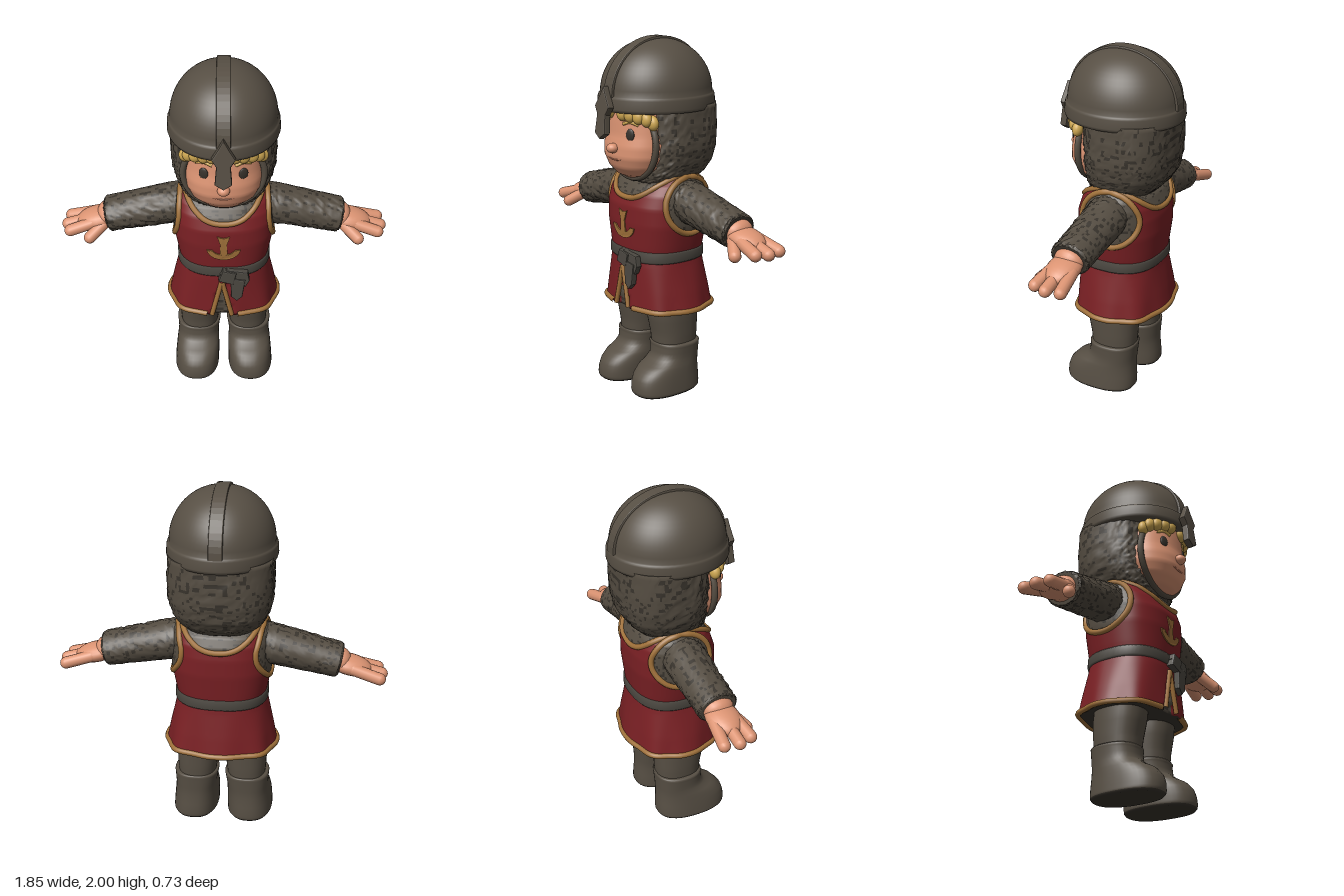
import * as THREE from 'three';

const V = (x, y, z) => new THREE.Vector3(x, y, z);
const mat = (name, color, side = THREE.FrontSide) => {
  const m = new THREE.MeshStandardMaterial({ color, side });
  m.name = name;
  return m;
};
// repeatable pseudo-random value for a grid cell
const hash = (i, j) => { const s = Math.sin(i * 127.1 + j * 311.7) * 43758.5453; return s - Math.floor(s); };

// rings: [y, halfWidth, zFront, zBack, xCentre]
function ringAt(rings, y) {
  let k = 0;
  while (k < rings.length - 2 && y > rings[k + 1][0]) k++;
  const a = rings[k], b = rings[k + 1];
  const t = THREE.MathUtils.clamp((y - a[0]) / (b[0] - a[0]), 0, 1);
  const mix = (i) => (a[i] || 0) + ((b[i] || 0) - (a[i] || 0)) * t;
  return { w: mix(1), d: (mix(2) - mix(3)) / 2, cz: (mix(2) + mix(3)) / 2, cx: mix(4) };
}
function ringPoint(rings, n, y, ang, grow = 0) {
  const r = ringAt(rings, y), c = Math.cos(ang), s = Math.sin(ang);
  const f = (v) => Math.sign(v) * Math.pow(Math.abs(v), 2 / n);
  return V(r.cx + (r.w + grow) * f(c), y, r.cz + (r.d + grow) * f(s));
}
function surfZ(rings, n, x, y, sign = 1) {
  const r = ringAt(rings, y);
  return r.cz + sign * r.d * Math.pow(Math.max(0, 1 - Math.pow(Math.abs(x / r.w), n)), 1 / n);
}

// closed skin over stacked rings; paint picks a material index for each cell
function loft(rings, { n = 2, sub = 4, seg = 32, shape = (p) => p, paint = () => 0, grow = 0 } = {}) {
  const ys = [rings[0][0]];
  for (let k = 1; k < rings.length; k++)
    for (let i = 1; i <= sub; i++) ys.push(rings[k - 1][0] + (rings[k][0] - rings[k - 1][0]) * i / sub);
  const pts = [], lists = [[], [], []];
  ys.forEach((y, i) => {
    for (let j = 0; j < seg; j++) {
      const ang = j / seg * Math.PI * 2;
      pts.push(shape(ringPoint(rings, n, y, ang, grow), i, j, ang));
    }
  });
  const last = ys.length - 1;
  for (let i = 0; i < last; i++) for (let j = 0; j < seg; j++) {
    const a = i * seg + j, b = i * seg + (j + 1) % seg, c = a + seg, d = b + seg;
    const mid = pts[a].clone().add(pts[d]).multiplyScalar(0.5);
    lists[paint(mid, i, j)].push(a, c, b, b, c, d);
  }
  for (const i of [0, last]) {
    const r = ringAt(rings, ys[i]), m = pts.push(V(r.cx, ys[i], r.cz)) - 1;
    const list = lists[paint(pts[m], i, 0)];
    for (let j = 0; j < seg; j++) {
      const a = i * seg + j, b = i * seg + (j + 1) % seg;
      if (i) list.push(a, m, b); else list.push(a, b, m);
    }
  }
  const g = new THREE.BufferGeometry().setFromPoints(pts);
  g.setIndex(lists.flat());
  let start = 0;
  lists.forEach((l, i) => { if (l.length) g.addGroup(start, l.length, i); start += l.length; });
  g.computeVertexNormals();
  return g;
}

export function createModel() {
  const root = new THREE.Group();
  const metal = mat('brown steel', 0x574f44), mail = mat('chain mail', 0x544c41), mailDark = mat('mail gaps', 0x38332c);
  const red = mat('red cloth', 0x7a2024), gold = mat('gold trim', 0xa0713a), skin = mat('skin', 0xdc9473);
  const hair = mat('blond hair', 0xcfa852), belt = mat('belt leather', 0x4c4841), dark = mat('eye', 0x37322c), lip = mat('lip', 0xbd775c);

  const add = (name, geo, material, parent = root) => {
    const m = new THREE.Mesh(geo, material);
    m.name = name;
    parent.add(m);
    return m;
  };
  const tube = (name, pts, r, material, closed = false) =>
    add(name, new THREE.TubeGeometry(new THREE.CatmullRomCurve3(pts, closed), pts.length * 4, r, 8, closed), material);
  const blob = (name, p, s, material, parent = root) => {
    const m = add(name, new THREE.SphereGeometry(1, 20, 14), material, parent);
    m.position.set(...p);
    m.scale.set(...s);
    return m;
  };
  const capsule = (name, a, b, r, material, parent) => {
    const m = add(name, new THREE.CapsuleGeometry(r, a.distanceTo(b), 6, 14), material, parent);
    m.position.copy(a).lerp(b, 0.5);
    m.quaternion.setFromUnitVectors(V(0, 1, 0), b.clone().sub(a).normalize());
    return m;
  };
  const extrude = (pts, depth, bevel = 0) => new THREE.ExtrudeGeometry(
    new THREE.Shape(pts.map((p) => new THREE.Vector2(...p))),
    { depth, bevelEnabled: bevel > 0, bevelSize: bevel, bevelThickness: bevel, bevelSegments: 2 });
  const speck = (i, j) => (hash(i, j) < 0.17 ? 1 : 0);
  const rough = (p, i, j) => { const k = (hash(i + 7, j) - 0.5) * 0.009; return V(p.x + Math.sign(p.x) * k, p.y, p.z + k); };

  // tunic with mail showing at the neck, armholes and front slit
  const body = [[0.49, 0.312, 0.208, -0.295], [0.6, 0.292, 0.204, -0.282], [0.74, 0.262, 0.2, -0.262], [0.8, 0.25, 0.195, -0.255],
    [0.86, 0.262, 0.2, -0.262], [0.98, 0.283, 0.208, -0.275], [1.08, 0.285, 0.205, -0.275], [1.15, 0.283, 0.18, -0.265],
    [1.2, 0.272, 0.145, -0.24], [1.24, 0.245, 0.09, -0.19], [1.26, 0.2, 0.04, -0.14]];
  const BN = 2.5;
  const neckY = (x) => 1.125 + 0.122 * Math.pow(Math.abs(x) / 0.215, 2.4);
  const inSlit = (p) => p.z > 0 && p.y < 0.74 && Math.abs(p.x + 0.01) < (0.74 - p.y) * 0.22;
  const isMail = (p) => (Math.abs(p.x) < 0.215 && p.y > neckY(p.x)) || inSlit(p) || p.y < 0.491 ||
    (Math.abs(p.x) > 0.15 && ((p.z + 0.06) / 0.165) ** 2 + ((p.y - 1.09) / 0.155) ** 2 < 1);
  const folds = (p, ang) => {
    const k = 1 + 0.022 * Math.cos(8 * ang) * Math.max(0, 0.74 - p.y) / 0.25;
    return V(p.x * k, p.y, p.z * k);
  };
  add('tunic', loft(body, {
    n: BN, sub: 6, seg: 112,
    shape: (p, i, j, ang) => { const q = folds(p, ang); if (inSlit(q)) q.z -= 0.025; return q; },
    paint: (p, i, j) => (isMail(p) ? 1 + speck(i, j) : 0),
  }), [red, mail, mailDark]);

  // gold edging
  const neckPts = [];
  for (const s of [1, -1]) for (let i = 0; i <= 12; i++) {
    const x = s * (-0.215 + 0.43 * i / 12), y = neckY(x);
    neckPts.push(V(x, y, surfZ(body, BN, x, y, s)));
  }
  tube('neckTrim', neckPts, 0.016, gold, true);
  const hem = [];
  for (let i = 0; i <= 60; i++) {
    const ang = Math.PI / 2 + 0.22 + (Math.PI * 2 - 0.4) * i / 60;
    hem.push(folds(ringPoint(body, BN, 0.497, ang), ang));
  }
  tube('hemTrim', hem, 0.016, gold);
  for (const s of [1, -1]) {
    const hole = [], edge = [];
    for (let i = 0; i < 28; i++) {
      const t = i / 28 * Math.PI * 2, z = -0.06 + 0.165 * Math.cos(t), y = 1.09 + 0.155 * Math.sin(t), r = ringAt(body, y);
      hole.push(V(s * r.w * Math.pow(Math.max(0.05, 1 - Math.pow(Math.abs((z - r.cz) / r.d), BN)), 1 / BN), y, z));
    }
    tube('armholeTrim', hole, 0.017, gold, true);
    for (let i = 0; i <= 5; i++) {
      const y = 0.735 - 0.238 * i / 5, x = -0.01 + s * (0.74 - y) * 0.23;
      edge.push(V(x, y, surfZ(body, BN, x, y) + 0.004));
    }
    tube('slitTrim', edge, 0.014, gold);
  }

  // chest mark: flared stem above a crescent
  const crescent = [];
  for (let i = 0; i <= 10; i++) { const t = Math.PI * (1.03 + 0.94 * i / 10); crescent.push([0.095 * Math.cos(t), 0.97 + 0.075 * Math.sin(t)]); }
  for (let i = 10; i >= 0; i--) { const t = Math.PI * (1.1 + 0.8 * i / 10); crescent.push([0.065 * Math.cos(t), 0.975 + 0.045 * Math.sin(t)]); }
  const stem = [[-0.035, 1.055], [-0.018, 1], [-0.022, 0.925], [0.022, 0.925], [0.018, 1], [0.035, 1.055], [0, 1.045]];
  for (const outline of [crescent, stem]) {
    const g = extrude(outline, 0.008), p = g.attributes.position;
    for (let i = 0; i < p.count; i++) p.setZ(i, p.getZ(i) + surfZ(body, BN, p.getX(i), p.getY(i)) - 0.001);
    g.computeVertexNormals();
    add('chestMark', g, gold);
  }

  // belt, knot and hanging end
  add('belt', loft([[0.77, 0.256, 0.199, -0.258], [0.78, 0.264, 0.205, -0.266], [0.825, 0.264, 0.205, -0.266], [0.835, 0.256, 0.199, -0.258]],
    { n: BN, sub: 1, seg: 64 }), belt);
  const strap = (name, pts, z, depth, tilt = 0) => {
    const m = add(name, extrude(pts, depth, 0.007), belt);
    m.position.z = z;
    m.rotation.y = tilt;
  };
  strap('beltKnot', [[-0.02, 0.765], [0.05, 0.745], [0.065, 0.81], [0, 0.825]], 0.2, 0.03);
  strap('beltLoop', [[-0.01, 0.8], [0.12, 0.72], [0.14, 0.76], [0.13, 0.81], [0.02, 0.825]], 0.198, 0.022);
  strap('beltEnd', [[0.05, 0.65], [0.075, 0.625], [0.1, 0.65], [0.115, 0.76], [0.045, 0.77]], 0.205, 0.022);

  // head
  const face = [[1.235, 0.08, 0.17, -0.1], [1.255, 0.135, 0.21, -0.1], [1.3, 0.183, 0.248, -0.1], [1.36, 0.208, 0.27, -0.1],
    [1.42, 0.213, 0.268, -0.1], [1.48, 0.208, 0.255, -0.1], [1.56, 0.2, 0.25, -0.1], [1.66, 0.19, 0.24, -0.1]];
  const FN = 2.2, faceZ = (x, y) => surfZ(face, FN, x, y);
  add('head', loft(face, { n: FN, seg: 48 }), skin);
  blob('nose', [0, 1.41, 0.277], [0.034, 0.028, 0.034], skin);
  tube('mouth', [-0.06, -0.03, 0, 0.03, 0.06].map((x) => V(x, 1.345 + x * x * 3, faceZ(x, 1.345) - 0.001)), 0.005, lip);
  for (const s of [1, -1]) {
    blob('eye', [s * 0.105, 1.492, faceZ(0.105, 1.492)], [0.026, 0.034, 0.009], dark).rotation.y = s * 0.35;
    tube('eyebrow', [0.06, 0.1, 0.145].map((x, i) => V(s * x, [1.548, 1.56, 1.545][i], faceZ(x, 1.55) + 0.002)), 0.009, hair);
    [[0.055, 1.605, 0.25], [0.1, 1.6, 0.235], [0.145, 1.592, 0.213], [0.18, 1.58, 0.185], [0.2, 1.56, 0.155]].forEach((p) =>
      blob('hairLock', [s * p[0], p[1], p[2]], [0.036, 0.042, 0.03], hair).rotation.z = s * 0.4);
  }

  // mail hood
  add('mailHood', loft([[1.19, 0.17, 0.11, -0.2], [1.22, 0.2, 0.145, -0.235], [1.26, 0.238, 0.155, -0.275], [1.32, 0.268, 0.156, -0.312],
    [1.4, 0.288, 0.156, -0.328], [1.5, 0.291, 0.156, -0.332], [1.64, 0.285, 0.156, -0.328]],
    { n: 2.7, sub: 6, seg: 96, shape: rough, paint: (p, i, j) => speck(i, j) }), [mail, mailDark]);
  const rim = [];
  for (let i = 0; i < 32; i++) { const t = i / 32 * Math.PI * 2; rim.push(V(0.218 * Math.cos(t), 1.435 + 0.205 * Math.sin(t), 0.148)); }
  tube('hoodRim', rim, 0.018, mail, true);

  // helmet: band, dome, ridge and nose guard
  const helm = [[1.612, 0.285], [1.613, 0.3], [1.63, 0.305], [1.68, 0.302], [1.692, 0.298], [1.697, 0.29]];
  for (let i = 1; i <= 14; i++) { const t = i / 14 * 1.54; helm.push([1.697 + 0.291 * Math.sin(t), 0.29 * Math.pow(Math.cos(t), 0.94)]); }
  add('helmet', loft(helm.map(([y, r]) => [y, r, r * 1.11 - 0.027, -r * 1.11 - 0.027]), { sub: 1, seg: 64 }), metal);
  const arch = [];
  for (let i = 0; i <= 28; i++) { const t = i / 28 * Math.PI; arch.push([0.328 * Math.cos(t), 1.695 + 0.298 * Math.sin(t)]); }
  const ridge = add('helmetRidge', extrude(arch, 0.064, 0.006).translate(0, 0, -0.032), metal);
  ridge.rotation.y = Math.PI / 2;
  ridge.position.z = -0.027;
  const half = [[0.022, 0.085], [0.055, 0.03], [0.03, -0.01], [0.038, -0.11]];
  const guard = add('noseGuard', extrude([[0, 0.13], ...half, [0, -0.135], ...half.map(([x, y]) => [-x, y]).reverse()].reverse(), 0.026, 0.007), metal);
  guard.position.set(0, 1.61, 0.318);
  guard.rotation.x = -0.11;

  for (const s of [1, -1]) {
    const side = s > 0 ? 'left' : 'right';
    // mail sleeve and hand, built along the arm's own y axis
    const arm = new THREE.Group();
    arm.name = side + 'Arm';
    arm.position.set(s * 0.2, 1.125, -0.055);
    arm.rotation.z = -s * 1.78;
    root.add(arm);
    add('sleeve', loft([[0, 0.11, 0.115, -0.115], [0.1, 0.112, 0.122, -0.122], [0.3, 0.103, 0.114, -0.114], [0.46, 0.096, 0.112, -0.112], [0.472, 0.086, 0.1, -0.1]],
      { sub: 9, seg: 48, shape: rough, paint: (p, i, j) => speck(i, j + (s > 0 ? 0 : 50)) }), [mail, mailDark], arm);
    blob('palm', [s * 0.012, 0.53, 0], [0.055, 0.125, 0.092], skin, arm);
    blob('wrist', [0, 0.47, 0], [0.07, 0.06, 0.085], skin, arm);
    [[-0.06, -0.078, 0.7], [0.0, 0.005, 0.712], [0.055, 0.078, 0.69]].forEach(([z0, z1, len]) =>
      capsule('finger', V(s * 0.012, 0.55, z0), V(s * 0.022, len, z1), 0.034, skin, arm));
    capsule('thumb', V(s * 0.03, 0.5, 0.06), V(s * 0.068, 0.585, 0.115), 0.034, skin, arm);

    // leg and boot
    add(side + 'Leg', loft([[0.26, 0.108, 0.088, -0.17, s * 0.145], [0.34, 0.116, 0.095, -0.175, s * 0.143], [0.44, 0.124, 0.115, -0.178, s * 0.14], [0.56, 0.126, 0.125, -0.175, s * 0.138]],
      { n: 2.3 }), metal);
    add(side + 'Boot', loft([[0, 0.122, 0.232, -0.168], [0.012, 0.132, 0.243, -0.176], [0.03, 0.132, 0.247, -0.178], [0.07, 0.131, 0.243, -0.177],
      [0.11, 0.129, 0.229, -0.174], [0.15, 0.126, 0.192, -0.172], [0.18, 0.122, 0.136, -0.172], [0.21, 0.121, 0.1, -0.174], [0.26, 0.126, 0.094, -0.178],
      [0.28, 0.129, 0.096, -0.18], [0.288, 0.12, 0.09, -0.174]].map((r) => [...r, s * (0.162 - 0.05 * r[0])]),
      { n: 2.4, sub: 2, seg: 40, paint: (p) => (p.y < 0.013 ? 1 : 0) }), [metal, mailDark]);
  }
  return root;
}
